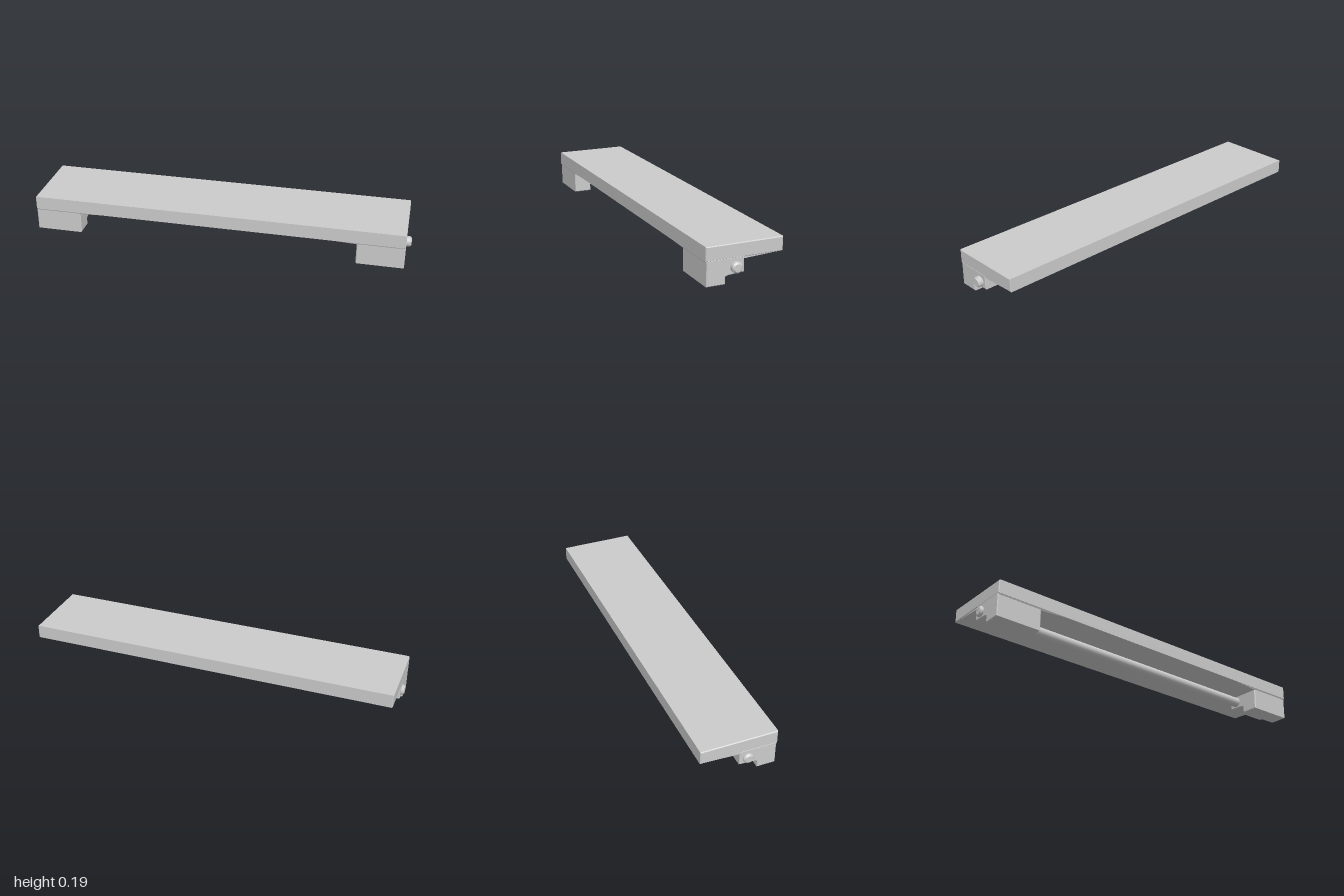
import * as THREE from 'three';

const grey = new THREE.MeshStandardMaterial({ color: 0xcccccc, flatShading: true });
const smoothGrey = new THREE.MeshStandardMaterial({ color: 0xcccccc });
const thinGrey = new THREE.MeshStandardMaterial({ color: 0xcccccc, flatShading: true, side: THREE.DoubleSide });

const MID = -0.005; // the board sits slightly off the rod's centre
const HALF = 0.98;

// Extrudes a [z, y] side profile from x0 to x1 with small chamfers on its edges.
function sideExtrude(name, profile, x0, x1, bevel) {
  const shape = new THREE.Shape(profile.map(([z, y]) => new THREE.Vector2(-z, y)));
  const geo = new THREE.ExtrudeGeometry(shape, {
    depth: x1 - x0 - 2 * bevel, bevelEnabled: true, bevelSegments: 1,
    bevelSize: bevel, bevelThickness: bevel, bevelOffset: -bevel,
  });
  geo.rotateY(Math.PI / 2).translate(x0 + bevel, 0, 0);
  const mesh = new THREE.Mesh(geo, grey);
  mesh.name = name;
  return mesh;
}

// Shallow thickening under each end of the board, fading out towards the middle.
function underWedge(side) {
  const stations = [[HALF - 0.003, 1], [0.73, 1], [0.55, 0]]; // [x, drop]
  const profile = [[0.197, 0], [0.192, 0.01], [0, 0.01], [-0.195, 0]]; // [z, depth]
  const n = profile.length;
  const pos = [], index = [];
  for (const [x, drop] of stations)
    for (const [z, d] of profile) pos.push(MID + side * x, 0.121 - d * drop, z);
  for (let i = 0; i < stations.length - 1; i++)
    for (let j = 0; j < n - 1; j++) {
      const a = i * n + j, b = a + 1, c = a + n, d = c + 1;
      if (side > 0) index.push(a, c, b, b, c, d);
      else index.push(a, b, c, b, d, c);
    }
  // Outer end cap
  if (side > 0) index.push(0, 1, 2, 0, 2, 3);
  else index.push(0, 2, 1, 0, 3, 2);
  const geo = new THREE.BufferGeometry();
  geo.setAttribute('position', new THREE.Float32BufferAttribute(pos, 3));
  geo.setIndex(index);
  geo.computeVertexNormals();
  const mesh = new THREE.Mesh(geo, thinGrey);
  mesh.name = side > 0 ? 'leftUnderWedge' : 'rightUnderWedge';
  return mesh;
}

export function createModel() {
  const group = new THREE.Group();
  group.name = 'shelf';

  // Long flat board
  const board = [[0.198, 0.119], [0.198, 0.19], [-0.197, 0.19], [-0.197, 0.119]];
  group.add(sideExtrude('board', board, MID - HALF, MID + HALF, 0.004));

  // Stepped foot with a lower front block at each end
  const foot = [
    [0.193, 0], [0.193, 0.125], [0.003, 0.125],
    [0.003, 0.047], [0.085, 0.041], [0.098, 0.036], [0.098, 0],
  ];
  for (const side of [1, -1]) {
    const inner = MID + side * 0.735, outer = MID + side * HALF;
    group.add(sideExtrude(side > 0 ? 'leftFoot' : 'rightFoot', foot,
      Math.min(inner, outer), Math.max(inner, outer), 0.004));
    group.add(underWedge(side));
  }

  // Round rod through both feet, with chamfered ends
  const rod = new THREE.Group();
  rod.name = 'rod';
  const shaft = new THREE.Mesh(new THREE.CylinderGeometry(0.027, 0.027, 1.984, 32, 1, true), smoothGrey);
  shaft.name = 'rodShaft';
  rod.add(shaft);
  for (const side of [1, -1]) {
    const end = new THREE.Mesh(
      new THREE.CylinderGeometry(side > 0 ? 0.019 : 0.027, side > 0 ? 0.027 : 0.019, 0.008, 32), smoothGrey);
    end.position.y = side * 0.996;
    end.name = side > 0 ? 'rightRodEnd' : 'leftRodEnd';
    rod.add(end);
  }
  rod.rotation.z = Math.PI / 2;
  rod.position.set(0, 0.078, 0.047);
  group.add(rod);

  return group;
}
